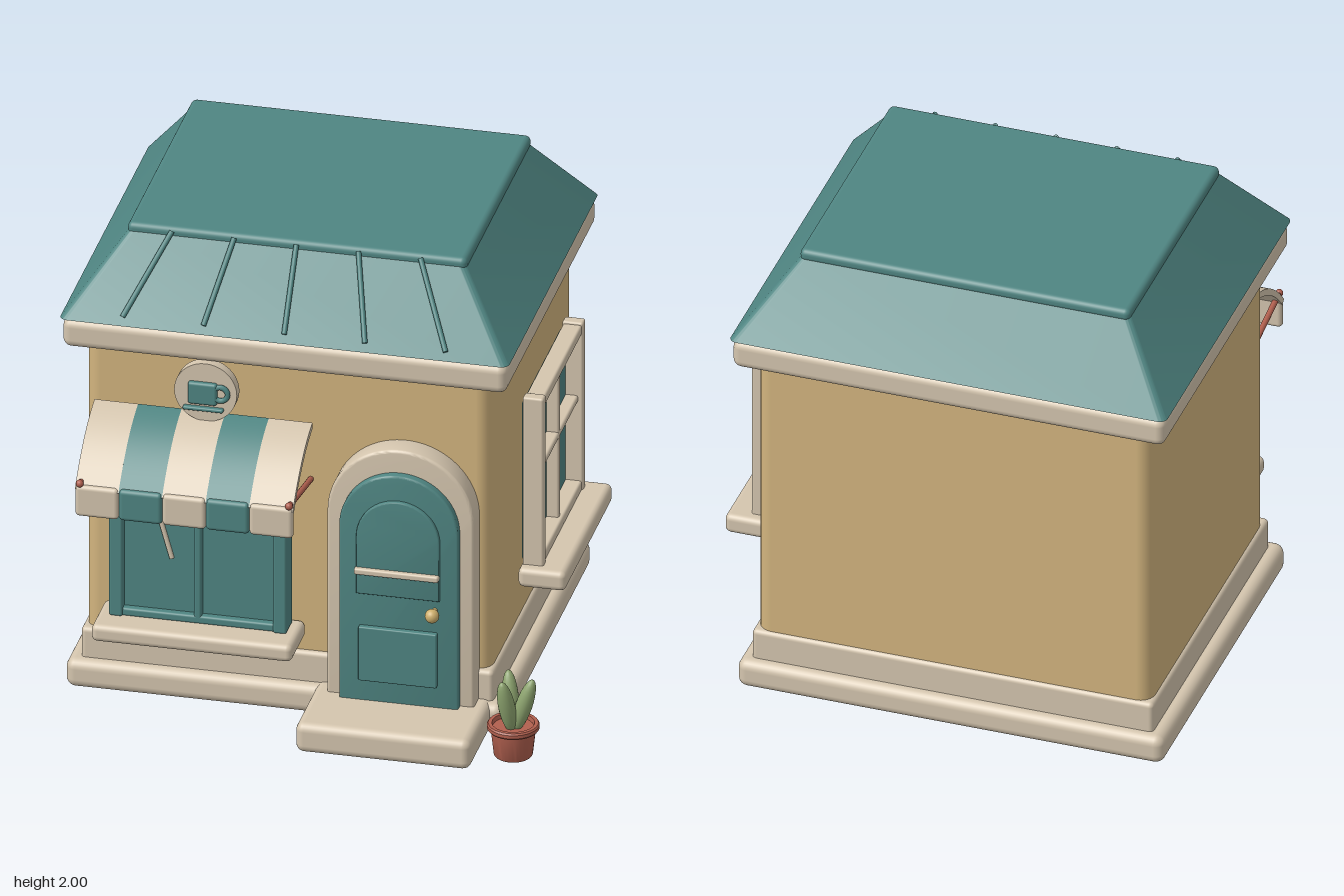
import * as THREE from 'three';
import { toCreasedNormals } from 'three/addons/utils/BufferGeometryUtils.js';
import { RoundedBoxGeometry } from 'three/addons/geometries/RoundedBoxGeometry.js';

const mat = (name, color) => {
  const m = new THREE.MeshStandardMaterial({ color });
  m.name = name;
  return m;
};

export function createModel() {
  const teal = mat('teal', 0x4f8582);
  const cream = mat('cream', 0xd4c5ae);
  const wall = mat('wall ochre', 0xd2b47e);
  const clay = mat('terracotta', 0xb1604f);
  const green = mat('leaf green', 0x8da46f);
  const brass = mat('brass', 0xcdae6c);

  const root = new THREE.Group();
  root.name = 'cornerCafe';
  const group = (name) => {
    const g = new THREE.Group();
    g.name = name;
    root.add(g);
    return g;
  };
  const add = (parent, name, geo, material) => {
    const m = new THREE.Mesh(geo, material);
    m.name = name;
    parent.add(m);
    return m;
  };
  // Rounded box given by its extents on each axis
  const box = (parent, name, material, [x0, x1], [y0, y1], [z0, z1], r = 0.01) => {
    const m = add(parent, name, new RoundedBoxGeometry(x1 - x0, y1 - y0, z1 - z0, 3, r), material);
    m.position.set((x0 + x1) / 2, (y0 + y1) / 2, (z0 + z1) / 2);
    return m;
  };
  // Round bar between two points
  const bar = (parent, name, material, a, b, r) => {
    const p = new THREE.Vector3(...a), q = new THREE.Vector3(...b);
    const d = q.clone().sub(p);
    const m = add(parent, name, new THREE.CylinderGeometry(r, r, d.length(), 12), material);
    m.position.copy(p).add(q).multiplyScalar(0.5);
    m.quaternion.setFromUnitVectors(new THREE.Vector3(0, 1, 0), d.normalize());
    return m;
  };
  const archPath = (path, cx, half, y0, spring) => {
    path.moveTo(cx - half, y0);
    path.lineTo(cx + half, y0);
    path.lineTo(cx + half, spring);
    path.absarc(cx, spring, half, 0, Math.PI, false);
    path.lineTo(cx - half, y0);
    return path;
  };
  const extrude = (shape, z0, z1, bevel = 0) => {
    const g = new THREE.ExtrudeGeometry(shape, {
      depth: z1 - z0 - 2 * bevel, curveSegments: 24, bevelEnabled: bevel > 0,
      bevelSize: bevel, bevelOffset: -bevel, bevelThickness: bevel, bevelSegments: 3,
    });
    g.translate(0, 0, z0 + bevel);
    return toCreasedNormals(g, 0.6);
  };

  // Body: base, plinth, walls, cornice
  const body = group('body');
  box(body, 'base', cream, [-0.98, 0.81], [0, 0.125], [-0.92, 0.605], 0.04);
  box(body, 'plinth', cream, [-0.925, 0.76], [0.1, 0.255], [-0.875, 0.56], 0.02);
  box(body, 'walls', wall, [-0.91, 0.745], [0.14, 1.64], [-0.86, 0.54], 0.06);
  box(body, 'cornice', cream, [-0.99, 0.825], [1.525, 1.65], [-0.935, 0.615], 0.035);

  // Roof: rounded rectangle extruded upward and tapered
  const roof = group('roof');
  const cx = -0.0825, cz = -0.16, hw = 0.9175, hd = 0.785, r = 0.035;
  const plan = new THREE.Shape();
  [[1, 1, 0], [-1, 1, 1], [-1, -1, 2], [1, -1, 3]].forEach(([sx, sy, k]) =>
    plan.absarc(sx * (hw - r), sy * (hd - r), r, k * Math.PI / 2, (k + 1) * Math.PI / 2, false));
  plan.closePath();
  let slope = new THREE.ExtrudeGeometry(plan, { depth: 0.32, bevelEnabled: false, curveSegments: 6 });
  slope.rotateX(-Math.PI / 2);
  const pos = slope.attributes.position;
  for (let i = 0; i < pos.count; i++) {
    const t = pos.getY(i) / 0.32;
    pos.setX(i, pos.getX(i) * (1 - t * 0.235 / hw));
    pos.setZ(i, pos.getZ(i) * (1 - t * 0.235 / hd));
  }
  slope = toCreasedNormals(slope, 0.6);
  slope.translate(cx, 1.655, cz);
  add(roof, 'roofSlope', slope, teal);
  box(roof, 'roofCap', teal, [-0.775, 0.612], [1.945, 2], [-0.725, 0.398], 0.024);
  for (let i = -2; i <= 2; i++)
    bar(roof, 'roofRib', teal, [cx + i * 0.33, 1.69, 0.61], [cx + i * 0.254, 1.985, 0.4], 0.011);

  // Front window
  const fw = group('frontWindow');
  box(fw, 'glass', teal, [-0.77, -0.065], [0.4, 1.2], [0.58, 0.65], 0.005);
  for (const x of [-0.78, -0.11]) box(fw, 'jamb', teal, [x, x + 0.055], [0.39, 1.21], [0.58, 0.69]);
  for (const y of [0.39, 1.17]) box(fw, 'rail', teal, [-0.77, -0.065], [y, y + 0.035], [0.58, 0.68]);
  box(fw, 'mullion', teal, [-0.435, -0.405], [0.4, 1.2], [0.6, 0.68]);
  box(fw, 'sill', cream, [-0.83, -0.01], [0.315, 0.39], [0.54, 0.79], 0.025);
  bar(fw, 'glint', cream, [-0.625, 1.0, 0.655], [-0.53, 0.66, 0.655], 0.01);

  // Side window
  const sw = group('sideWindow');
  box(sw, 'glass', teal, [0.785, 0.81], [0.57, 1.27], [-0.49, 0.17], 0.004);
  for (const z of [-0.525, 0.155]) box(sw, 'jamb', cream, [0.795, 0.88], [0.55, 1.31], [z, z + 0.05]);
  for (const y of [0.56, 1.255]) box(sw, 'rail', cream, [0.798, 0.875], [y, y + 0.045], [-0.5, 0.18]);
  box(sw, 'mullion', cream, [0.8, 0.86], [0.57, 1.28], [-0.175, -0.145]);
  box(sw, 'crossbar', cream, [0.8, 0.86], [0.955, 0.985], [-0.49, 0.17]);
  box(sw, 'sill', cream, [0.785, 0.98], [0.48, 0.565], [-0.57, 0.25], 0.025);
  bar(sw, 'glint', cream, [0.815, 1.13, 0.05], [0.815, 0.81, -0.045], 0.01);

  // Awning: five striped panels with a hanging valance
  const awning = group('awning');
  const section = new THREE.Shape();
  section.moveTo(0.575, 1.29);
  section.quadraticCurveTo(0.76, 1.245, 0.915, 1.06);
  section.lineTo(0.895, 1.045);
  section.quadraticCurveTo(0.75, 1.215, 0.575, 1.262);
  section.closePath();
  const w = 0.178;
  for (let i = 0; i < 5; i++) {
    const x = -0.865 + i * w, m = i % 2 ? teal : cream;
    const g = extrude(section, 0, w);
    g.rotateY(-Math.PI / 2);
    g.translate(x + w, 0, 0);
    add(awning, 'awningPanel', g, m);
    box(awning, 'valance', m, [x, x + w], [0.938, 1.075], [0.882, 0.92], 0.018);
  }
  for (const x of [-0.845, 0.01]) {
    bar(awning, 'awningArm', clay, [x, 1.02, 0.54], [x, 1.085, 0.915], 0.012);
    add(awning, 'armKnob', new THREE.SphereGeometry(0.016, 12, 8), clay).position.set(x, 1.085, 0.915);
  }

  // Round sign with cup
  const sign = group('sign');
  bar(sign, 'signDisc', cream, [-0.4, 1.4, 0.58], [-0.4, 1.4, 0.625], 0.128);
  sign.children[0].geometry = new THREE.CylinderGeometry(0.128, 0.128, 0.045, 40);
  box(sign, 'cup', teal, [-0.47, -0.35], [1.35, 1.447], [0.615, 0.645], 0.012);
  box(sign, 'saucer', teal, [-0.49, -0.325], [1.322, 1.338], [0.615, 0.645], 0.007);
  add(sign, 'cupHandle', new THREE.TorusGeometry(0.03, 0.011, 10, 24), teal).position.set(-0.338, 1.403, 0.632);

  // Arched door, surround and step
  const door = group('door');
  const surround = archPath(new THREE.Shape(), 0.4, 0.3, 0.12, 0.94);
  surround.holes.push(archPath(new THREE.Path(), 0.4, 0.24, 0.12, 0.9));
  add(door, 'doorSurround', extrude(surround, 0.53, 0.64, 0.012), cream);
  add(door, 'doorSlab', extrude(archPath(new THREE.Shape(), 0.4, 0.243, 0.12, 0.9), 0.55, 0.675, 0.008), teal);
  add(door, 'upperPanel', extrude(archPath(new THREE.Shape(), 0.4, 0.17, 0.61, 0.865), 0.66, 0.692, 0.006), teal);
  box(door, 'lowerPanel', teal, [0.24, 0.56], [0.225, 0.465], [0.66, 0.698], 0.006);
  box(door, 'pushBar', cream, [0.225, 0.57], [0.703, 0.73], [0.68, 0.712], 0.008);
  bar(door, 'knobStem', brass, [0.55, 0.565, 0.66], [0.55, 0.565, 0.73], 0.01);
  add(door, 'knob', new THREE.SphereGeometry(0.029, 20, 14), brass).position.set(0.55, 0.565, 0.728);
  box(door, 'step', cream, [0.04, 0.755], [0, 0.13], [0.5, 0.945], 0.035);

  // Potted plant
  const plant = group('pottedPlant');
  plant.position.set(0.888, 0, 0.753);
  const profile = [[0, 0], [0.073, 0], [0.078, 0.006], [0.09, 0.112], [0.1, 0.115], [0.105, 0.122],
    [0.105, 0.136], [0.1, 0.143], [0.085, 0.143], [0.082, 0.125], [0, 0.125]];
  add(plant, 'pot', toCreasedNormals(new THREE.LatheGeometry(
    profile.map(([x, y]) => new THREE.Vector2(x, y)), 32), 0.6), clay);
  [[0, 0.3], [2.1, 0.25], [4.2, 0.25]].forEach(([angle, tilt]) => {
    const leaf = new THREE.SphereGeometry(1, 18, 14);
    leaf.scale(0.034, 0.125, 0.034);
    leaf.translate(0.008, 0.12, 0);
    leaf.rotateZ(-tilt);
    leaf.rotateY(angle);
    leaf.translate(0, 0.11, 0);
    add(plant, 'leaf', leaf, green);
  });
  return root;
}
